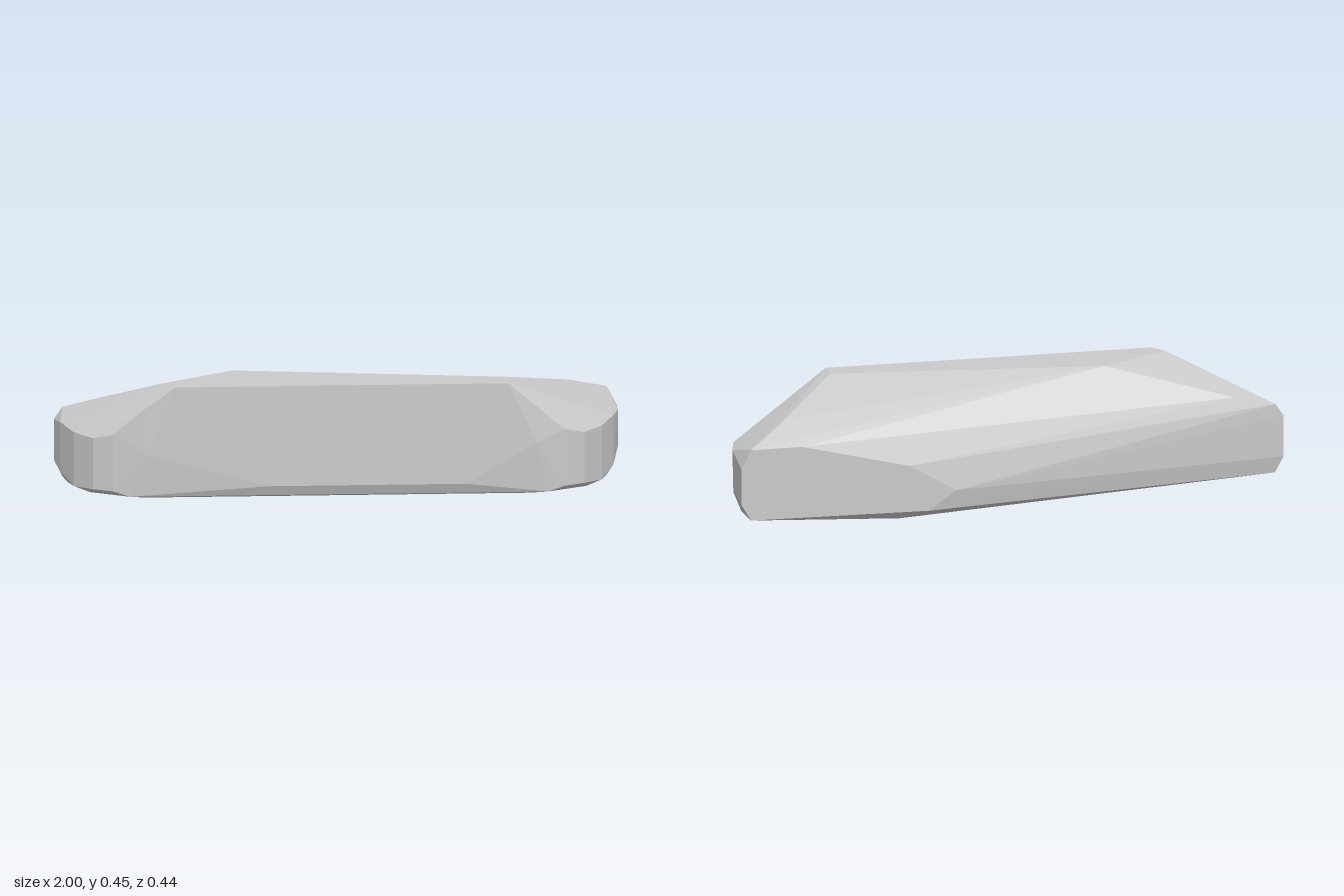
import * as THREE from 'three';
import { ConvexGeometry } from 'three/addons/geometries/ConvexGeometry.js';

export function createModel() {
  const group = new THREE.Group();
  group.name = 'stoneSlab';
  const stone = new THREE.MeshStandardMaterial({ color: 0xcacaca });
  stone.name = 'stone grey';

  const points = [];
  const add = (...list) => list.forEach((p) => points.push(new THREE.Vector3(...p)));

  // flat top
  add([-0.62, 0.45, 0.16], [-0.58, 0.45, 0.212], [0.6, 0.45, 0.212], [0.6, 0.45, 0.137], [-0.37, 0.45, 0.025]);

  // rounded front corners at both ends: x, z, lower y, upper y
  const rim = [
    [0.8, 0.193, 0.06, 0.27],
    [0.87, 0.165, 0.06, 0.25],
    [0.935, 0.095, 0.05, 0.25],
    [0.98, 0.005, 0.076, 0.26],
  ];
  for (const side of [-1, 1]) {
    for (const [x, z, low, high] of rim) add([side * x, low, z], [side * x, high, z]);
    // chamfer below the rim
    add([side * 0.74, 0.042, 0.202], [side * 0.88, 0.038, 0.13], [side * 0.955, 0.036, 0]);
    add([side * 0.68, 0.028, 0.17]);
  }

  // front face
  add([0.7, 0.23, 0.215], [0.45, 0.08, 0.218], [-0.25, 0.08, 0.218], [-0.68, 0.2, 0.214], [-0.7, 0.36, 0.204]);

  // broad right end
  add([0.82, 0.36, -0.1], [1, 0.255, -0.07], [1, 0.115, -0.09], [0.97, 0.03, -0.08]);

  // back face
  add(
    [0.965, 0.295, -0.22], [1, 0.225, -0.22], [1, 0.095, -0.22], [0.965, 0.035, -0.22],
    [0.78, 0.295, -0.22], [0.39, 0.2, -0.22], [0.22, 0.1, -0.22], [0.32, 0.03, -0.22],
  );

  // narrow left end
  add(
    [-1, 0.25, -0.058], [-1, 0.1, -0.058], [-0.97, 0.295, -0.06],
    [-0.97, 0.04, -0.05], [-0.82, 0.33, -0.063],
  );

  // underside
  add([0.42, 0, -0.19], [0.38, 0, -0.13]);

  const slab = new THREE.Mesh(new ConvexGeometry(points), stone);
  slab.name = 'slab';
  group.add(slab);
  return group;
}
